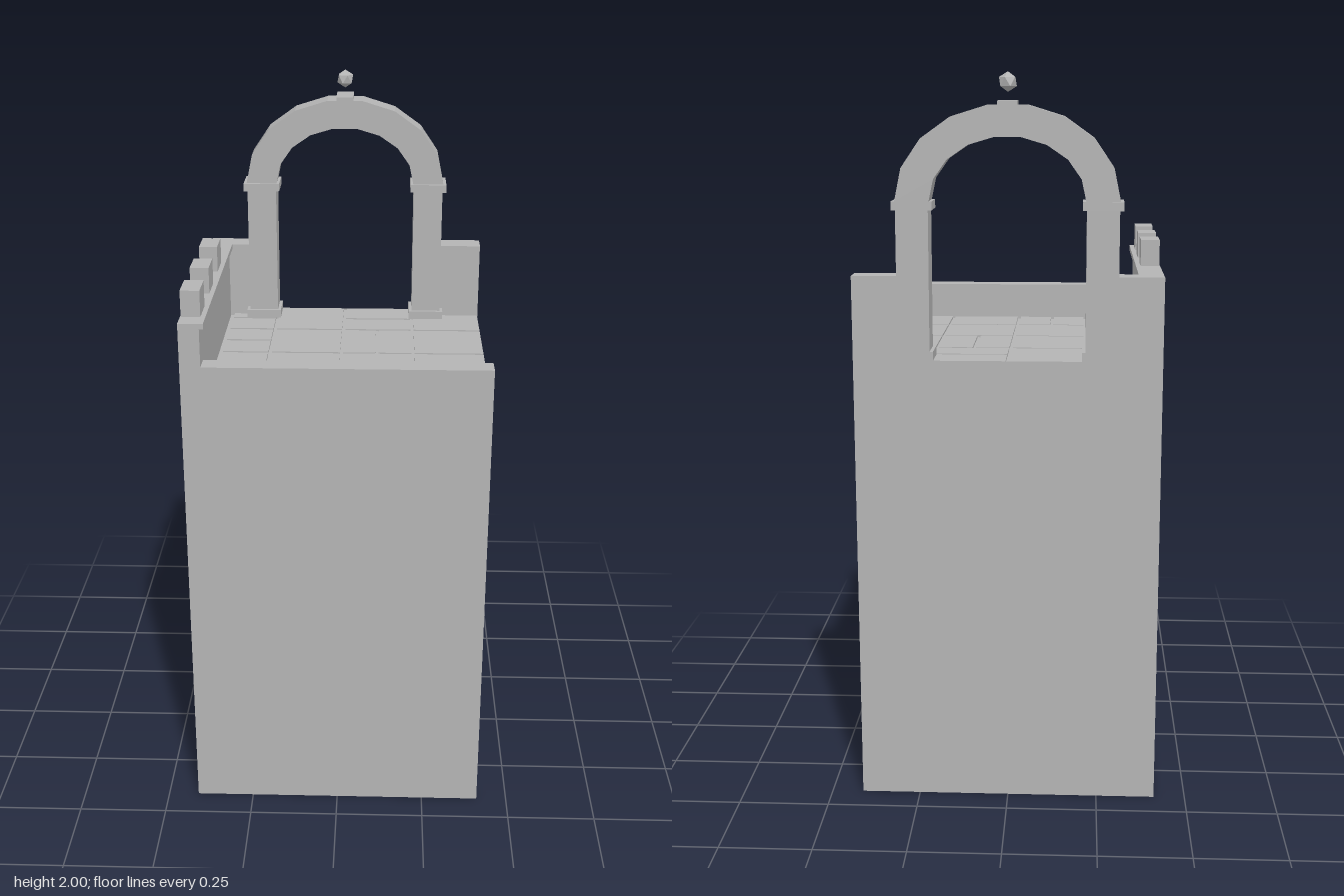
import * as THREE from 'three';

export function createModel() {
  const group = new THREE.Group();
  const stone = new THREE.MeshStandardMaterial({ color: 0xb4b4b4, side: THREE.DoubleSide });
  stone.name = 'stone grey';

  const add = (name, geometry) => {
    const mesh = new THREE.Mesh(geometry, stone);
    mesh.name = name;
    group.add(mesh);
    return mesh;
  };
  // Box given by its limits on each axis
  const box = (name, x0, x1, y0, y1, z0, z1) => {
    const g = new THREE.BoxGeometry(x1 - x0, y1 - y0, z1 - z0);
    g.translate((x0 + x1) / 2, (y0 + y1) / 2, (z0 + z1) / 2);
    return add(name, g);
  };

  const X = 0.413, Z = 0.415, FLOOR = 1.25, TOP = 1.475;

  // Tall sheet walls, open at the left side and underneath
  const sheet = (name, w) => {
    const g = new THREE.PlaneGeometry(w, FLOOR);
    g.translate(0, FLOOR / 2, 0);
    return add(name, g);
  };
  sheet('frontWall', 2 * X).position.z = Z;
  const back = sheet('backWall', 2 * X);
  back.rotation.y = Math.PI;
  back.position.z = -Z;
  const side = sheet('sideWall', 2 * Z);
  side.rotation.y = -Math.PI / 2;
  side.position.x = -X;

  // Floor bed seen in the joints between the tiles
  const bed = new THREE.PlaneGeometry(2 * X, 2 * Z);
  bed.rotateX(-Math.PI / 2);
  add('floorBed', bed).position.y = FLOOR - 0.006;

  // Paving tiles: x0, x1, z0, z1
  const tiles = [
    [-0.345, -0.213, -0.415, -0.317], [-0.345, -0.213, -0.307, -0.213],
    [-0.203, -0.005, -0.415, -0.213], [0.005, 0.203, -0.415, -0.317],
    [0.005, 0.203, -0.307, -0.213], [0.212, 0.411, -0.415, -0.213],
    [-0.345, -0.213, -0.203, -0.11], [-0.345, -0.213, -0.1, -0.005],
    [-0.203, -0.005, -0.203, -0.005], [0.005, 0.098, -0.203, -0.005],
    [0.108, 0.203, -0.203, -0.005], [0.212, 0.411, -0.203, -0.005],
    [-0.345, -0.213, 0.004, 0.203], [-0.203, -0.005, 0.004, 0.203],
    [0.005, 0.203, 0.004, 0.203], [0.212, 0.411, 0.004, 0.203],
    [-0.345, -0.318, 0.213, 0.37], [-0.308, -0.213, 0.213, 0.37],
    [-0.203, -0.11, 0.213, 0.37], [-0.1, -0.005, 0.213, 0.37],
    [0.005, 0.203, 0.213, 0.37], [0.212, 0.411, 0.213, 0.37],
  ];
  for (const [x0, x1, z0, z1] of tiles) box('floorTile', x0, x1, FLOOR - 0.006, FLOOR, z0, z1);

  // Parapets with overhanging caps
  box('frontParapet', -0.357, X, FLOOR - 0.006, 1.34, 0.37, Z);
  box('frontParapetCap', -0.357, X, 1.34, 1.355, 0.357, Z);
  box('sideParapet', -X, -0.357, FLOOR - 0.006, 1.46, -Z, Z);
  box('sideParapetCap', -X, -0.346, 1.46, TOP, -Z, Z);
  box('backParapetLeft', 0.293, X, FLOOR - 0.006, 1.46, -Z, -0.355);
  box('backParapetLeftCap', 0.293, X, 1.46, TOP, -Z, -0.346);
  box('backParapetRight', -0.357, -0.293, FLOOR - 0.006, 1.46, -Z, -0.355);
  box('backParapetRightCap', -0.346, -0.293, 1.46, TOP, -Z, -0.346);

  // Merlons along the side parapet
  for (const z of [-0.105, 0.105, 0.312]) {
    box('merlon', -0.411, -0.359, TOP, 1.547, z - 0.047, z + 0.047);
  }

  // Archway pillars with base and capital
  for (const s of [-1, 1]) {
    const mirrored = (name, a, b, ...rest) => box(name, Math.min(s * a, s * b), Math.max(s * a, s * b), ...rest);
    mirrored('pillar', 0.207, 0.293, FLOOR - 0.006, 1.65, -Z, -0.326);
    mirrored('pillarBase', 0.198, 0.302, FLOOR, 1.274, -Z, -0.316);
    mirrored('pillarCapital', 0.197, 0.304, 1.647, 1.67, -0.418, -0.316);
  }

  // Faceted elliptical arch
  const arch = new THREE.Shape();
  const SEG = 9, SPRING = 1.67;
  const ring = (rx, ry, k) => [rx * Math.cos(Math.PI * k / SEG), SPRING + ry * Math.sin(Math.PI * k / SEG)];
  arch.moveTo(...ring(0.295, 0.25, 0));
  for (let k = 1; k <= SEG; k++) arch.lineTo(...ring(0.295, 0.25, k));
  for (let k = SEG; k >= 0; k--) arch.lineTo(...ring(0.205, 0.167, k));
  const archGeometry = new THREE.ExtrudeGeometry(arch, { depth: 0.086, bevelEnabled: false });
  archGeometry.translate(0, 0, -0.412);
  add('arch', archGeometry);

  // Keystone and the small faceted ball above it
  box('keystone', -0.025, 0.025, 1.836, 1.927, -0.418, -0.32);
  const ball = new THREE.IcosahedronGeometry(0.026, 0);
  ball.rotateZ(-0.5536);
  add('finialBall', ball).position.set(0, 1.974, -0.369);

  return group;
}
